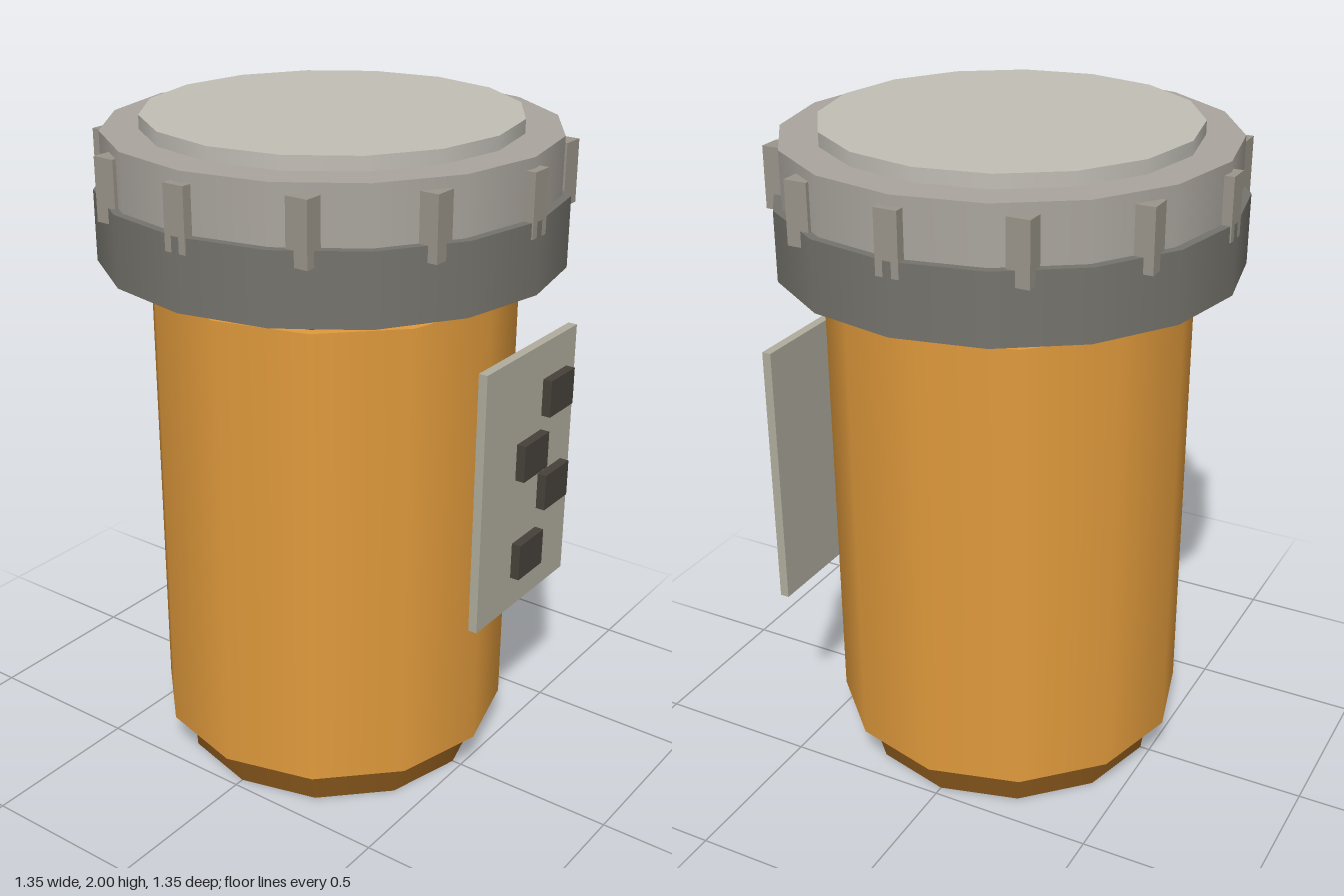
import * as THREE from 'three';

const material = (color) => new THREE.MeshStandardMaterial({ color });

export function createModel() {
  const model = new THREE.Group();
  const amber = material(0xe09a3c);
  const darkAmber = material(0x80521a);
  const skirtGrey = material(0x75736c);
  const ringGrey = material(0xaaa59e);
  const topGrey = material(0xc1beb6);
  const ribGrey = material(0x9a958a);
  const labelGrey = material(0xb0ad9e);
  const markGrey = material(0x46413a);

  const add = (name, geometry, mat, x, y, z, parent = model) => {
    const mesh = new THREE.Mesh(geometry, mat);
    mesh.name = name;
    mesh.position.set(x, y, z);
    parent.add(mesh);
  };
  // Upright drum between two heights
  const drum = (name, radius, y0, y1, sides, mat, parent) =>
    add(name, new THREE.CylinderGeometry(radius, radius, y1 - y0, sides), mat, 0, (y0 + y1) / 2, 0, parent);
  // Box given by its limits
  const block = (name, [x0, x1], [y0, y1], [z0, z1], mat, parent) =>
    add(name, new THREE.BoxGeometry(x1 - x0, y1 - y0, z1 - z0), mat,
      (x0 + x1) / 2, (y0 + y1) / 2, (z0 + z1) / 2, parent);

  // Bottle
  drum('base', 0.47, 0, 0.13, 12, darkAmber);
  drum('body', 0.54, 0.12, 1.53, 12, amber);
  drum('neck', 0.508, 1.5, 1.62, 12, darkAmber);

  // Cap
  const cap = new THREE.Group();
  cap.name = 'cap';
  model.add(cap);
  drum('capSkirt', 0.675, 1.59, 1.795, 16, skirtGrey, cap);
  drum('capRing', 0.65, 1.78, 1.96, 16, ringGrey, cap);
  drum('capTop', 0.54, 1.95, 2, 16, topGrey, cap);

  // Grip ribs, each squared to the nearest axis
  for (let i = 0; i < 12; i++) {
    const angle = (i * Math.PI) / 6;
    const x = 0.645 * Math.sin(angle);
    const z = 0.645 * Math.cos(angle);
    const facesZ = Math.abs(z) > Math.abs(x);
    const size = facesZ ? [0.068, 0.18, 0.055] : [0.055, 0.18, 0.068];
    add('gripRib', new THREE.BoxGeometry(...size), ribGrey, x, 1.84, z, cap);
  }

  // Label plate with four raised marks
  const label = new THREE.Group();
  label.name = 'label';
  model.add(label);
  block('labelPlate', [-0.055, 0.453], [0.53, 1.35], [0.54, 0.568], labelGrey, label);
  [0.635, 0.815, 0.96, 1.12].forEach((y, i) => {
    const x = i % 2 ? 0.265 : 0.13;
    block('labelMark', [x, x + 0.137], [y, y + 0.115], [0.568, 0.597], markGrey, label);
  });

  return model;
}
